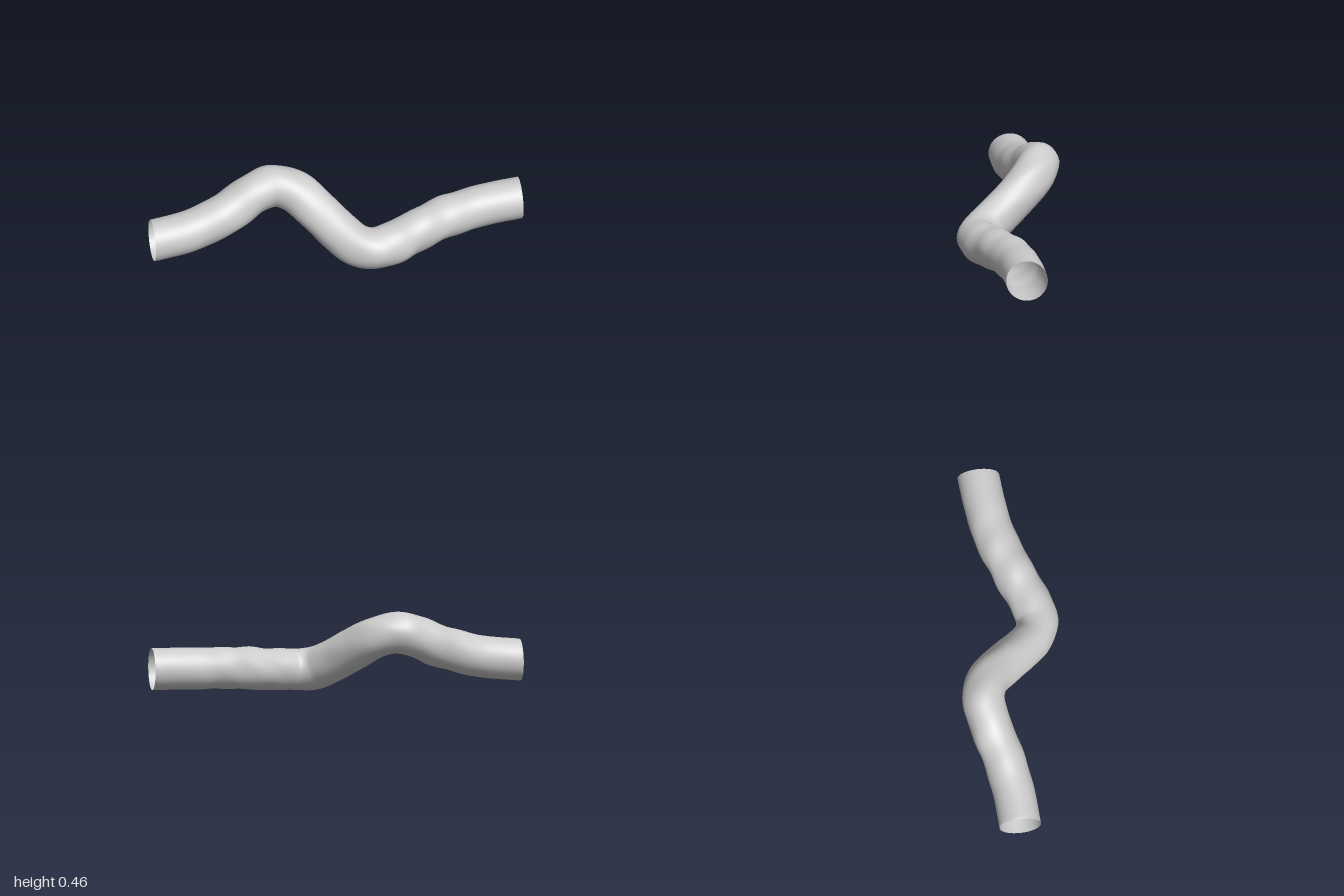
import * as THREE from 'three';
import { mergeVertices } from 'three/addons/utils/BufferGeometryUtils.js';

const RADIUS = 0.112;
const RINGS = 140;
const SIDES = 40;

// Centre line of the pipe, from the right end to the left end
const PATH = [
  [-1, 0.171, -0.05], [-0.8, 0.195, -0.066], [-0.6, 0.247, -0.108],
  [-0.42, 0.325, -0.162], [-0.31, 0.35, -0.173], [-0.21, 0.328, -0.138],
  [-0.1, 0.25, -0.04], [0, 0.172, 0.067], [0.08, 0.128, 0.14],
  [0.165, 0.116, 0.167], [0.27, 0.124, 0.147], [0.4, 0.14, 0.09],
  [0.6, 0.158, 0.01], [0.8, 0.168, -0.035], [1, 0.172, -0.057],
].map((p) => new THREE.Vector3(...p));

// Soft dents and swellings over the surface
function lump(p) {
  return 0.0025 * Math.sin(17 * p.x + 21 * p.y + 5 * p.z)
    + 0.002 * Math.sin(31 * p.x - 18 * p.z + 2)
    + 0.0015 * Math.sin(38 * p.y + 27 * p.z - 24 * p.x);
}

function pipeGeometry() {
  const curve = new THREE.CatmullRomCurve3(PATH, false, 'centripetal');
  let geo = new THREE.TubeGeometry(curve, RINGS, RADIUS, SIDES, false);
  const pos = geo.attributes.position;
  const nor = geo.attributes.normal;
  const p = new THREE.Vector3();
  const n = new THREE.Vector3();
  for (let i = 0; i < pos.count; i++) {
    p.fromBufferAttribute(pos, i);
    n.fromBufferAttribute(nor, i);
    const ring = Math.floor(i / (SIDES + 1));
    // The ends stay smooth, the bent middle is lumpy
    const fade = 1 - THREE.MathUtils.smoothstep(Math.abs(p.x), 0.45, 1);
    p.addScaledVector(n, lump(p) * fade);
    // Both ends are cut square
    if (ring === 0) p.x = -1;
    if (ring === RINGS) p.x = 1;
    pos.setXYZ(i, p.x, p.y, p.z);
  }
  // Weld the seam so the shading runs smoothly around
  geo.deleteAttribute('uv');
  geo.deleteAttribute('normal');
  geo = mergeVertices(geo, 1e-5);
  geo.computeVertexNormals();
  return geo;
}

export function createModel() {
  const model = new THREE.Group();
  model.name = 'bentPipe';
  const material = new THREE.MeshStandardMaterial({ color: 0xcccccc, side: THREE.DoubleSide });
  const pipe = new THREE.Mesh(pipeGeometry(), material);
  pipe.name = 'pipeWall';
  model.add(pipe);
  return model;
}
